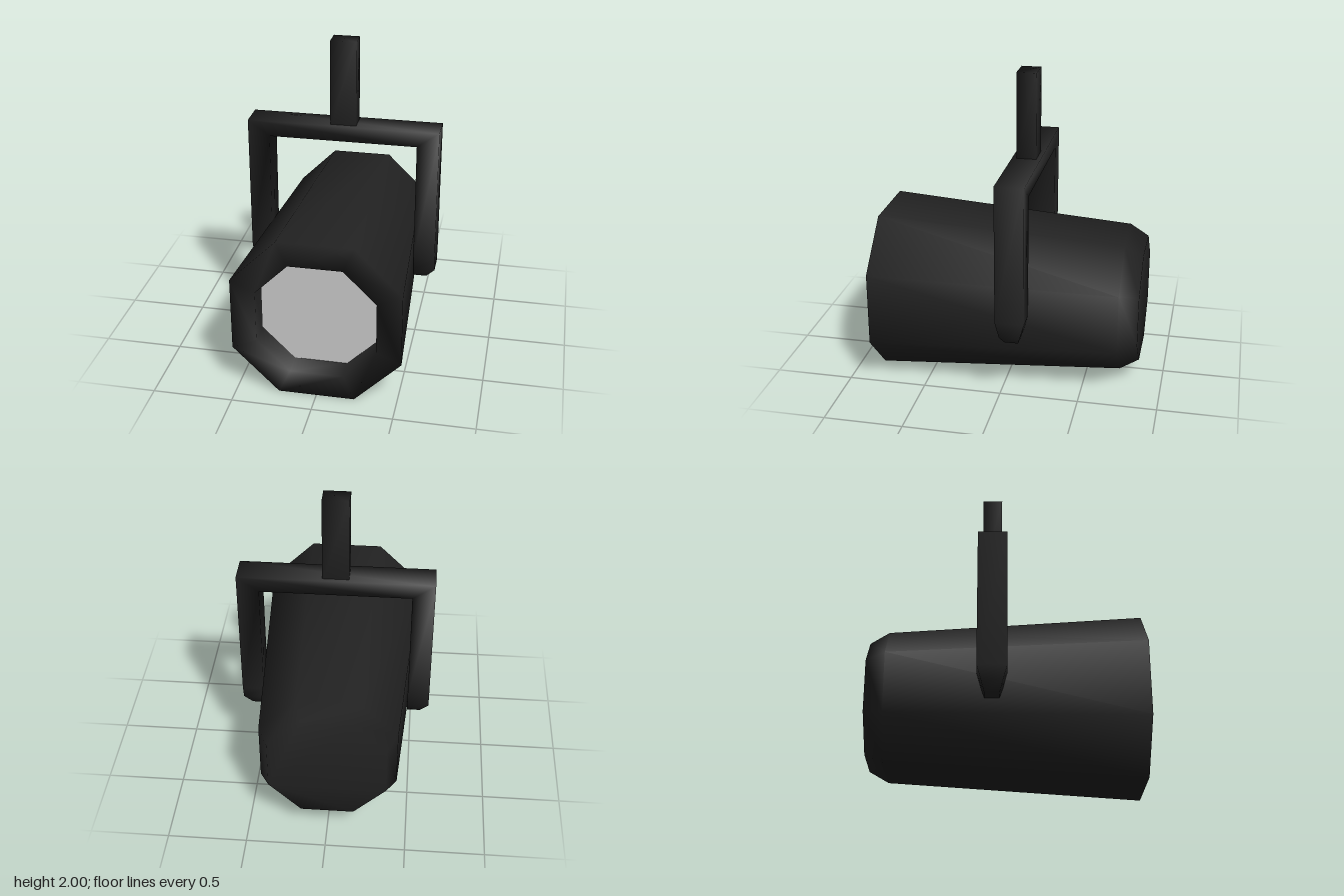
import * as THREE from 'three';

const black = new THREE.MeshStandardMaterial({ color: 0x222222 });
const glass = new THREE.MeshStandardMaterial({ color: 0xcccccc });

// Smooth skin through rings of corners (counter-clockwise seen from the end), capped at both ends
function loft(rings) {
  const n = rings[0].length, index = [];
  for (let r = 0; r < rings.length - 1; r++) {
    for (let k = 0; k < n; k++) {
      const a = r * n + k, b = r * n + (k + 1) % n;
      index.push(a, b, b + n, a, b + n, a + n);
    }
  }
  const end = (rings.length - 1) * n;
  for (let k = 1; k < n - 1; k++) {
    index.push(0, k + 1, k, end, end + k, end + k + 1);
  }
  const geometry = new THREE.BufferGeometry();
  geometry.setAttribute('position', new THREE.Float32BufferAttribute(rings.flat(2), 3));
  geometry.setIndex(index);
  geometry.computeVertexNormals();
  return geometry;
}

// Octagon with flat sides up and down, facing +z
function octagon(half, z) {
  const f = half * 0.45, cy = 0.525;
  return [[half, -f], [half, f], [f, half], [-f, half], [-half, f], [-half, -f], [-f, -half], [f, -half]]
    .map(([x, y]) => [x, y + cy, z]);
}

export function createModel() {
  const group = new THREE.Group();
  const add = (name, geometry, material) => {
    const mesh = new THREE.Mesh(geometry, material);
    mesh.name = name;
    group.add(mesh);
  };

  // Tapered lamp housing, chamfered at the back, with a recess in the front
  add('housing', loft([
    octagon(0.367, -0.85), octagon(0.43, -0.73), octagon(0.525, 0.85),
    octagon(0.37, 0.85), octagon(0.37, 0.69),
  ]), black);

  // Lens set back inside the rim
  const lens = new THREE.ShapeGeometry(new THREE.Shape(
    octagon(0.37, 0).map(([x, y]) => new THREE.Vector2(x, y))));
  lens.translate(0, 0, 0.7);
  add('lens', lens, glass);

  // U-shaped yoke: [outer x, outer y, inner x, inner y, half depth], up the left arm and down the right
  const z = -0.085;
  const section = ([ox, oy, ix, iy, d]) =>
    [[ox, oy, z + d], [ox, oy, z - d], [ix, iy, z - d], [ix, iy, z + d]];
  const arm = [
    [0.56, 0.405, 0.475, 0.405, 0.045],
    [0.615, 0.465, 0.475, 0.465, 0.065],
    [0.615, 0.56, 0.475, 0.56, 0.091],
    [0.615, 1.45, 0.475, 1.35, 0.091],
  ];
  const mirrored = arm.map(([ox, oy, ix, iy, d]) => [-ox, oy, -ix, iy, d]).reverse();
  add('yoke', loft([...arm, ...mirrored].map(section)), black);

  // Hanging stem
  add('stem', loft([1.42, 2].map((y) => section([0.083, y, -0.083, y, 0.063]))), black);

  return group;
}
